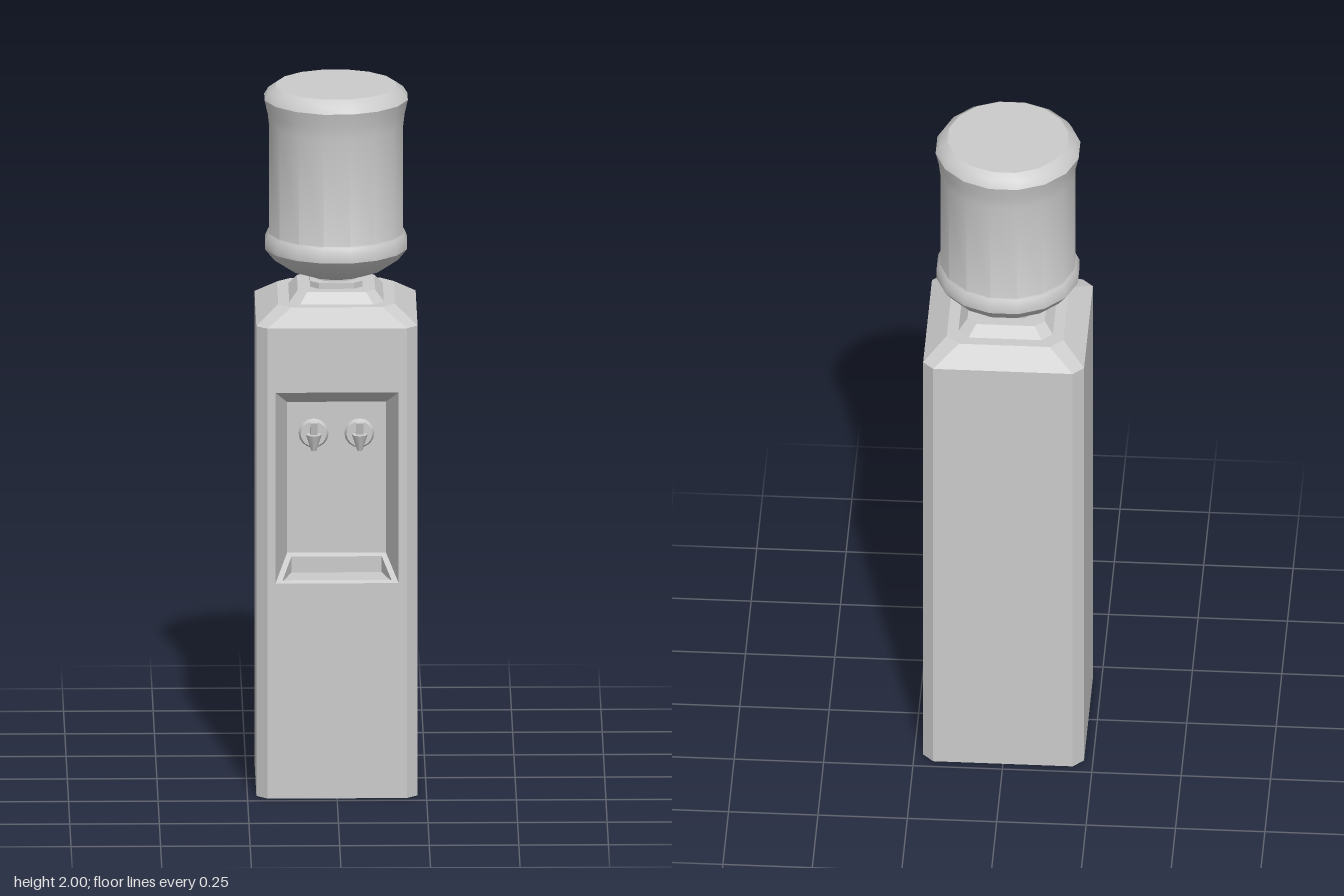
import * as THREE from 'three';
import { toCreasedNormals } from 'three/addons/utils/BufferGeometryUtils.js';

const material = new THREE.MeshStandardMaterial({ color: 0xcccccc });

function addMesh(parent, name, geometry) {
  const mesh = new THREE.Mesh(geometry, material);
  mesh.name = name;
  parent.add(mesh);
  return mesh;
}

// Quads joining two loops of corners, leaving out the sides listed in skip
function bridge(a, b, skip = []) {
  const out = [];
  a.forEach((p, i) => {
    if (skip.includes(i)) return;
    const j = (i + 1) % a.length;
    out.push(p, a[j], b[j], p, b[j], b[i]);
  });
  return out;
}

// Fan filling one loop
function cap(loop) {
  const out = [];
  for (let i = 1; i < loop.length - 1; i++) out.push(loop[0], loop[i], loop[i + 1]);
  return out;
}

function flatGeometry(triangles) {
  const g = new THREE.BufferGeometry();
  g.setAttribute('position', new THREE.Float32BufferAttribute(triangles.flat(), 3));
  g.computeVertexNormals();
  return g;
}

// Square with cut corners, counter-clockwise from above, front side first
function ring(half, cut, y) {
  const a = half - cut;
  return [[-a, half], [a, half], [half, a], [half, -a], [a, -half], [-a, -half], [-half, -a], [-half, a]]
    .map(([x, z]) => [x, y, z]);
}

// Rectangle facing the front, counter-clockwise from bottom left
const frame = (w, y0, y1, z) => [[-w, y0, z], [w, y0, z], [w, y1, z], [-w, y1, z]];

function createCabinet() {
  const cabinet = new THREE.Group();
  cabinet.name = 'cabinet';
  const H = 0.225, TOP = 1.355;

  // Shell, with the front side left open for the panel
  const base = ring(H, 0.03, 0), shoulder = ring(H, 0.03, TOP);
  addMesh(cabinet, 'shell', flatGeometry([...bridge(base, shoulder, [0]), ...cap([...base].reverse())]));

  // Stepped lid
  const steps = [shoulder, ring(0.163, 0.036, 1.4), ring(0.132, 0.03, 1.4), ring(0.108, 0.026, 1.43)];
  const lid = cap(steps[3]);
  for (let i = 0; i < 3; i++) lid.push(...bridge(steps[i], steps[i + 1]));
  addMesh(cabinet, 'lid', flatGeometry(lid));

  // Front panel with the opening
  const opening = frame(0.172, 0.62, 1.17, H);
  const toPoints = (loop) => loop.map(([x, y]) => new THREE.Vector2(x, y));
  const panel = new THREE.Shape(toPoints(frame(0.195, 0, TOP, H)));
  panel.holes.push(new THREE.Path(toPoints(opening)));
  addMesh(cabinet, 'frontPanel', new THREE.ShapeGeometry(panel).translate(0, 0, H));

  // Tapered recess, open at the bottom where the drip tray sits
  const back = frame(0.138, 0.675, 1.11, 0.095);
  addMesh(cabinet, 'recess', flatGeometry([...bridge(opening, back, [0]), ...cap(back)]));

  // Sloping drip tray with a level basin
  const rim = [opening[0], opening[1], back[1], back[0]];
  const lip = [[-0.152, 0.626, 0.212], [0.152, 0.626, 0.212], [0.126, 0.668, 0.11], [-0.126, 0.668, 0.11]];
  const basin = lip.map(([x, , z]) => [x, 0.622, z]);
  addMesh(cabinet, 'dripTray', flatGeometry([...bridge(rim, lip), ...bridge(lip, basin), ...cap(basin)]));
  return cabinet;
}

function createTap(x) {
  const tap = new THREE.Group();
  tap.name = 'tap';
  addMesh(tap, 'tapDisc', new THREE.CylinderGeometry(0.036, 0.042, 0.012, 16).rotateX(Math.PI / 2))
    .position.z = 0.006;
  addMesh(tap, 'tapStem', new THREE.CylinderGeometry(0.013, 0.013, 0.05, 8).rotateX(Math.PI / 2))
    .position.z = 0.035;
  addMesh(tap, 'tapNozzle', new THREE.CylinderGeometry(0.022, 0.007, 0.046, 8)).position.set(0, -0.012, 0.06);
  const lever = addMesh(tap, 'tapLever', new THREE.BoxGeometry(0.02, 0.04, 0.01));
  lever.position.set(0, 0.028, 0.062);
  lever.rotation.x = 0.25;
  tap.position.set(x, 1.02, 0.095);
  return tap;
}

// Sixteen-sided turned body with a flat side to the front
function turned(profile, crease) {
  const scale = 1 / Math.cos(Math.PI / 16);
  const points = profile.map(([r, y]) => new THREE.Vector2(r * scale, y));
  return toCreasedNormals(new THREE.LatheGeometry(points, 16).rotateY(Math.PI / 16), crease);
}

export function createModel() {
  const model = new THREE.Group();
  model.name = 'waterCooler';
  model.add(createCabinet());
  for (const side of [-1, 1]) model.add(createTap(side * 0.064));

  // Collar that holds the bottle
  const low = ring(0.073, 0.024, 1.43), high = ring(0.073, 0.024, 1.447);
  addMesh(model, 'collar', flatGeometry([...bridge(low, high), ...cap(high)]));

  // Bottle: neck, bowl, lower band, body, upper band and flat end
  addMesh(model, 'bottle', turned([
    [0.058, 1.44], [0.058, 1.457], [0.085, 1.459], [0.135, 1.477], [0.173, 1.503], [0.198, 1.535],
    [0.198, 1.557], [0.19, 1.575], [0.187, 1.58], [0.187, 1.89], [0.191, 1.925],
    [0.2, 1.965], [0.188, 1.985], [0.167, 2], [0, 2],
  ], 0.6));
  return model;
}
